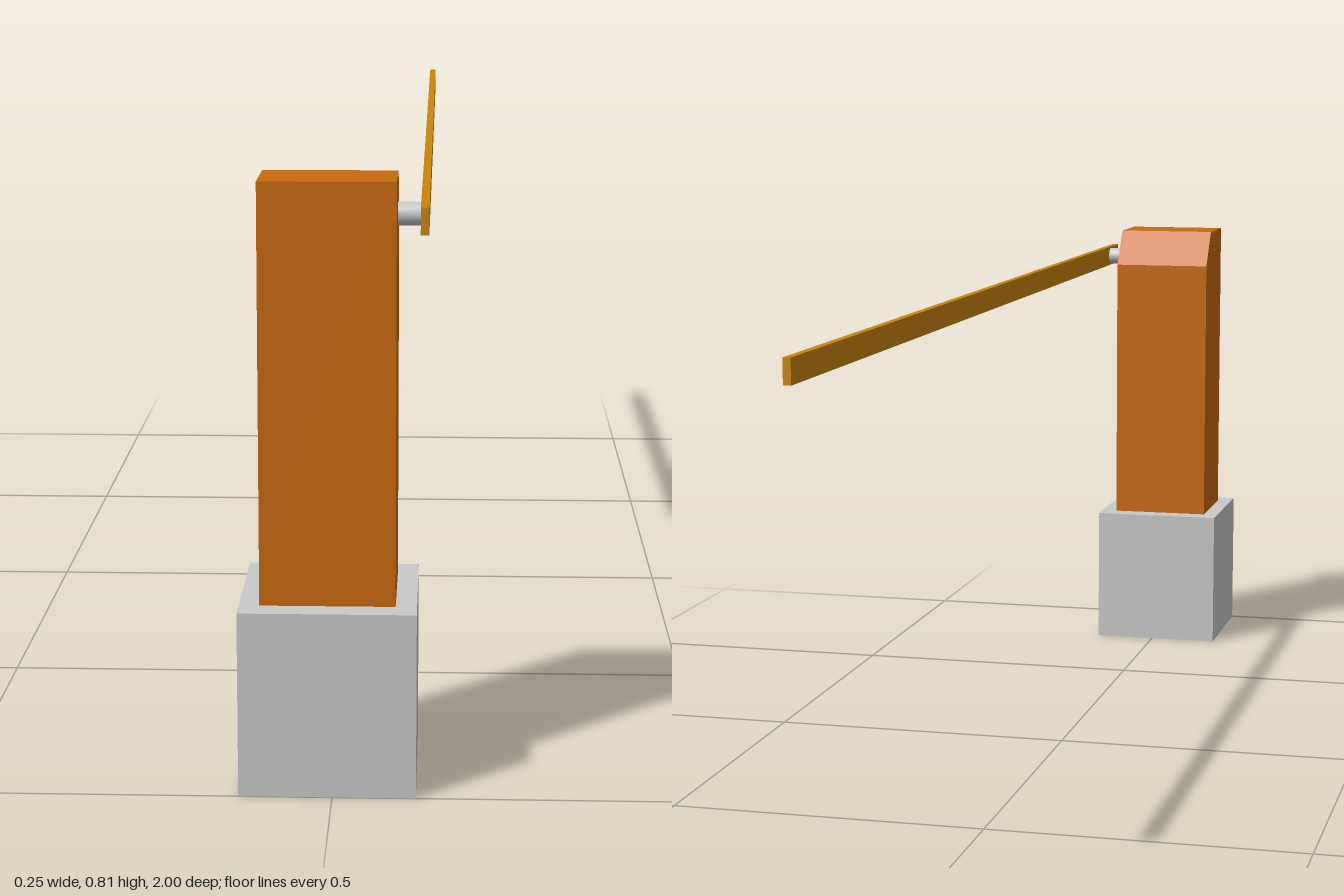
import * as THREE from 'three';

const material = (name, color) => {
  const m = new THREE.MeshStandardMaterial({ color });
  m.name = name;
  return m;
};

export function createModel() {
  const grey = material('concreteGrey', 0xc9c9c9);
  const orange = material('housingOrange', 0xc9690d);
  const amber = material('armAmber', 0xc9860d);

  const model = new THREE.Group();
  model.name = 'barrierGate';
  const add = (name, geometry, mat, x, y, z) => {
    const mesh = new THREE.Mesh(geometry, mat);
    mesh.name = name;
    mesh.position.set(x, y, z);
    model.add(mesh);
    return mesh;
  };

  // Foundation block
  add('base', new THREE.BoxGeometry(0.233, 0.25, 0.23), grey, -0.0065, 0.125, 0.885);

  // Housing: side profile (z, y) with a chamfered back top edge, extruded across x
  const profile = new THREE.Shape([
    [0.965, 0.25], [0.965, 0.807], [0.851, 0.807], [0.805, 0.743], [0.805, 0.25],
  ].map(([z, y]) => new THREE.Vector2(-z, y)));
  const housing = new THREE.ExtrudeGeometry(profile, { depth: 0.178, bevelEnabled: false });
  housing.rotateY(Math.PI / 2);
  add('housing', housing, orange, -0.096, 0, 0);

  // Pivot pin between housing and arm
  const pin = new THREE.CylinderGeometry(0.0155, 0.0155, 0.03, 32);
  pin.rotateZ(Math.PI / 2);
  add('pivotPin', pin, grey, 0.097, 0.7545, 0.88);

  // Long barrier arm reaching to the back
  add('barrierArm', new THREE.BoxGeometry(0.011, 0.036, 1.946), amber, 0.1175, 0.7545, -0.027);

  return model;
}
